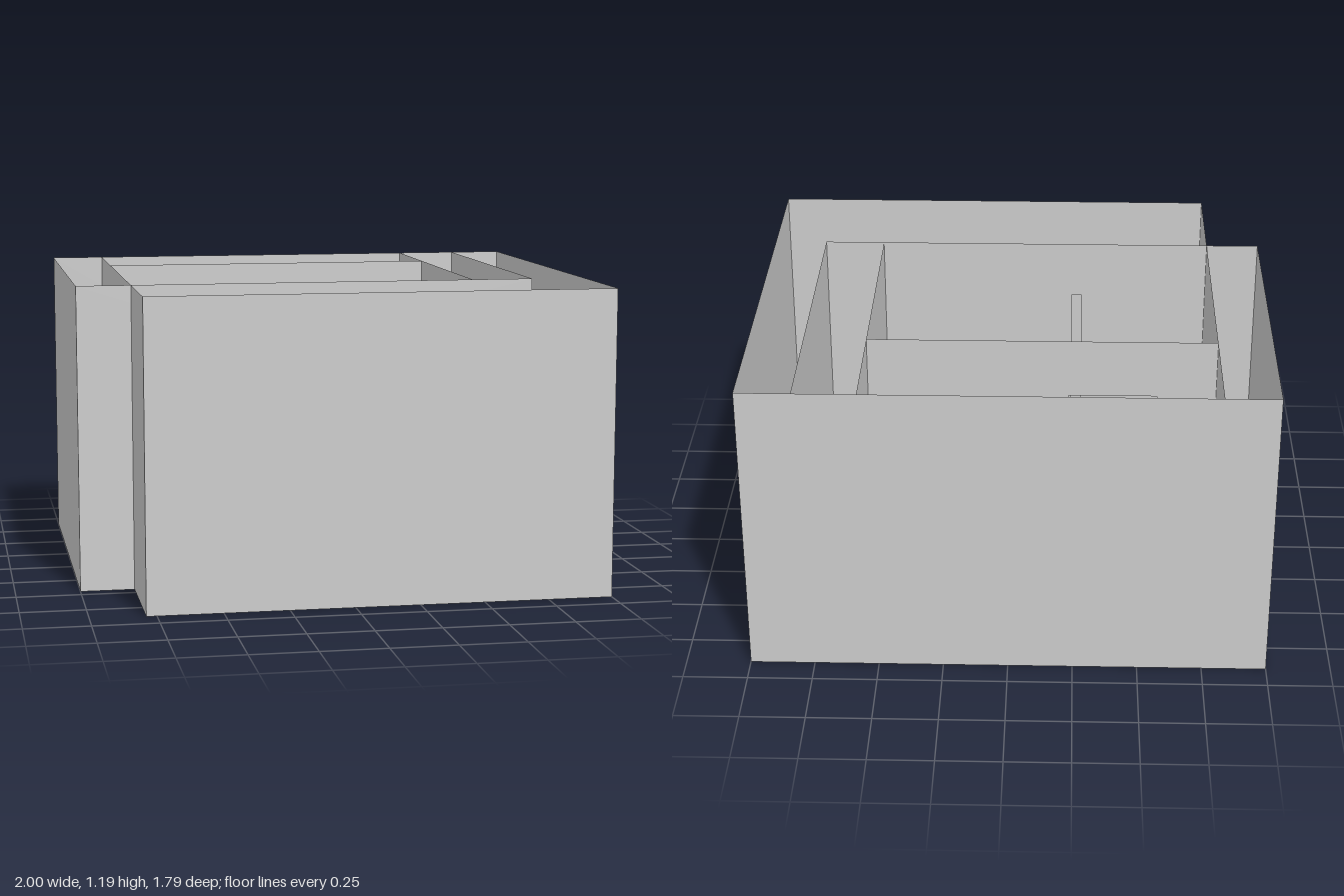
import * as THREE from 'three';

const HEIGHT = 1.187;
const DOOR_HEIGHT = 0.955;
const X = 1, Z = 0.893;        // outer extents
const INNER_X = 0.79, INNER_Z = 0.447;
const ROOM_X = 0.55;           // wall between the main room and the corridor

const material = new THREE.MeshStandardMaterial({
  color: 0xcccccc, flatShading: true, side: THREE.DoubleSide,
});

// Thin upright wall between two floor points; an opening is [start, end] along its length
function makeWall(name, [x1, z1], [x2, z2], opening) {
  const length = Math.hypot(x2 - x1, z2 - z1);
  const shape = new THREE.Shape();
  shape.moveTo(0, 0);
  if (opening) {
    const [a, b] = opening;
    shape.lineTo(a, 0);
    shape.lineTo(a, DOOR_HEIGHT);
    shape.lineTo(b, DOOR_HEIGHT);
    shape.lineTo(b, 0);
  }
  shape.lineTo(length, 0);
  shape.lineTo(length, HEIGHT);
  shape.lineTo(0, HEIGHT);
  shape.closePath();
  const wall = new THREE.Mesh(new THREE.ShapeGeometry(shape), material);
  wall.name = name;
  wall.position.set(x1, 0, z1);
  wall.rotation.y = Math.atan2(z1 - z2, x2 - x1);
  return wall;
}

export function createModel() {
  const house = new THREE.Group();
  house.name = 'floorPlanHouse';

  // Floor with the notched front corner, drawn in x and -z
  const outline = [[-X, -Z], [X, -Z], [X, Z], [-INNER_X, Z], [-INNER_X, INNER_Z], [-X, INNER_Z]];
  const floorShape = new THREE.Shape(outline.map(([x, z]) => new THREE.Vector2(x, -z)));
  const floor = new THREE.Mesh(new THREE.ShapeGeometry(floorShape), material);
  floor.name = 'floor';
  floor.rotation.x = -Math.PI / 2;
  house.add(floor);

  // Outer walls
  house.add(
    makeWall('backWall', [-X, -Z], [X, -Z]),
    makeWall('leftWall', [X, -Z], [X, Z]),
    makeWall('frontWall', [-INNER_X, Z], [X, Z]),
    makeWall('rightWall', [-X, -Z], [-X, INNER_Z]),
  );

  // Inner walls; the long right one also closes the notch
  house.add(
    makeWall('rightPartition', [-INNER_X, -Z], [-INNER_X, Z]),
    makeWall('frontPartition', [-X, INNER_Z], [INNER_X, INNER_Z], [0.725, 0.765]),
    makeWall('backPartition', [-INNER_X, -INNER_Z], [ROOM_X, -INNER_Z], [0.226, 0.566]),
    makeWall('corridorInnerWall', [ROOM_X, -Z], [ROOM_X, INNER_Z]),
    makeWall('corridorOuterWall', [INNER_X, -Z], [INNER_X, INNER_Z]),
  );

  return house;
}
